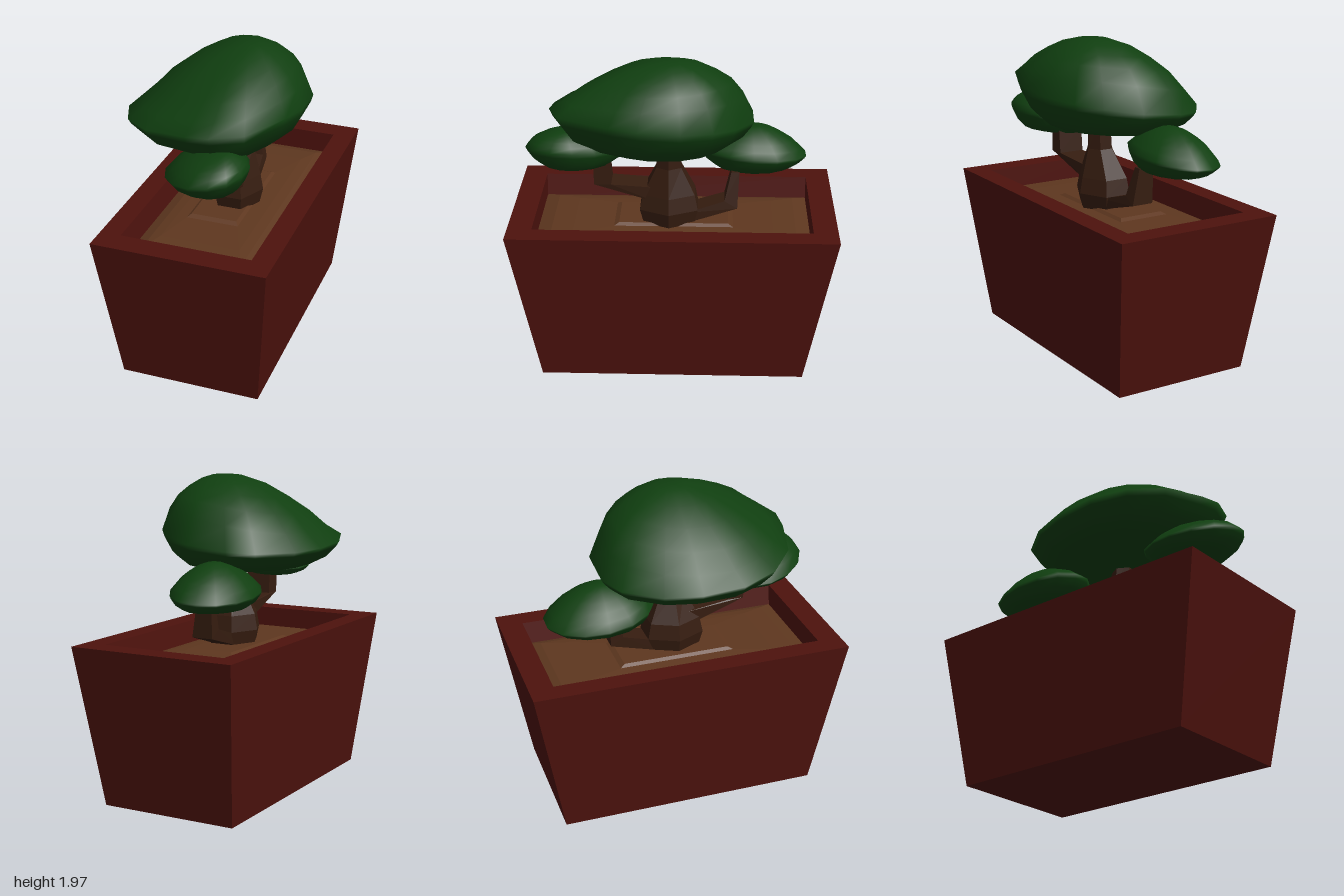
import * as THREE from 'three';

// Skin between rings of points; rings run counter-clockwise seen from the far end
function loft(rings, { flat = true, start = true, end = true } = {}) {
  const n = rings[0].length, pos = rings.flat(2), idx = [];
  for (let k = 0; k < rings.length - 1; k++) {
    for (let i = 0; i < n; i++) {
      const j = (i + 1) % n, a = k * n, b = a + n;
      idx.push(a + i, a + j, b + j, a + i, b + j, b + i);
    }
  }
  const cap = (k, flip) => {
    const c = pos.length / 3;
    for (let d = 0; d < 3; d++) pos.push(rings[k].reduce((s, p) => s + p[d], 0) / n);
    for (let i = 0; i < n; i++) {
      const a = k * n + i, b = k * n + (i + 1) % n;
      idx.push(c, flip ? b : a, flip ? a : b);
    }
  };
  if (start) cap(0, true);
  if (end) cap(rings.length - 1, false);
  let g = new THREE.BufferGeometry();
  g.setAttribute('position', new THREE.Float32BufferAttribute(pos, 3));
  g.setIndex(idx);
  if (flat) g = g.toNonIndexed();
  g.computeVertexNormals();
  return g;
}

// Horizontal rectangle ring
const rect = (y, x0, x1, z) => [[x1, y, z], [x1, y, -z], [x0, y, -z], [x0, y, z]];

// Horizontal elliptical ring
const oval = (y, cx, cz, rx, rz, n) => Array.from({ length: n }, (_, i) => {
  const a = i / n * Math.PI * 2;
  return [cx + rx * Math.cos(a), y, cz - rz * Math.sin(a)];
});

// Four-sided bent branch; section = [x0, x1, lowerY, lowerZ, upperY, upperZ]
const branch = (sections, backwards) => loft(sections.map(([x0, x1, yl, zl, yu, zu]) => {
  const [a, b] = backwards ? [x0, x1] : [x1, x0];
  return [[a, yl, zl], [a, yu, zu], [b, yu, zu], [b, yl, zl]];
}));

// Leaf pad: an outline at its widest level, drawn in towards a top and a bottom centre.
// A slope of 1 gives a round upper side, larger values a straighter one.
function leafPad(outline, level, top, bottom, slope) {
  const under = [[0.35, 1], [0.7, 0.86], [0.87, 0.56], [0.97, 0.18]];
  const over = [[1, 0], [0.87, 0.45], [0.73, 0.67], [0.55, 0.82], [0.36, 0.93], [0.16, 0.99]];
  const ring = (c, s, height) => outline.map(([x, z]) => {
    const y = level(x, z);
    return [c[0] + (x - c[0]) * s, y + (c[1] - y) * height(x, z), c[2] + (z - c[2]) * s];
  });
  return loft([
    ...under.map(([s, h]) => ring(bottom, s, () => h)),
    ...over.map(([s, h]) => ring(top, s, (x, z) => h ** slope(x, z))),
  ], { flat: false });
}

export function createModel() {
  const group = new THREE.Group();
  const mat = (color, flatShading) => new THREE.MeshStandardMaterial({ color, flatShading });
  const clay = mat(0x4d120d, true), earth = mat(0x5e371f, true);
  const bark = mat(0x361d10, true), leaf = mat(0x103f10, false);
  const add = (name, geometry, material) => {
    const m = new THREE.Mesh(geometry, material);
    m.name = name;
    group.add(m);
  };

  // Tapered planter with a thick rim and an inner wall
  add('planter', loft([
    rect(0, -0.42, 0.46, 0.82),
    rect(1, -0.515, 0.56, 1),
    rect(1, -0.385, 0.425, 0.85),
    rect(0.84, -0.355, 0.395, 0.85),
  ], { end: false }), clay);

  // Soil mound in shallow steps
  add('soil', loft([
    rect(0.86, -0.365, 0.405, 0.85),
    rect(0.89, -0.29, 0.33, 0.76),
    rect(0.9, -0.23, 0.27, 0.62),
    rect(0.905, -0.16, 0.17, 0.37),
    rect(0.92, -0.14, 0.15, 0.34),
  ], { start: false }), earth);

  // Six-sided trunk, flared at the base
  add('trunk', loft([
    [0.9, 0.05, 0.145, 0.18],
    [1.0, 0.05, 0.168, 0.208],
    [1.1, 0.05, 0.15, 0.185],
    [1.28, 0.073, 0.083, 0.088],
    [1.46, 0.078, 0.078, 0.08],
  ].map(([y, cx, rx, rz]) => oval(y, cx, 0.03, rx, rz, 6))), bark);

  // Two elbow branches
  add('frontBranch', branch([
    [-0.03, 0.13, 1.05, 0.1, 1.15, 0.1],
    [-0.01, 0.155, 1.18, 0.49, 1.18, 0.385],
    [-0.01, 0.155, 1.34, 0.49, 1.34, 0.4],
  ]), bark);
  add('backBranch', branch([
    [-0.03, 0.13, 0.91, -0.08, 0.98, -0.08],
    [-0.04, 0.1, 1.0, -0.395, 1.05, -0.315],
    [-0.04, 0.06, 1.23, -0.405, 1.23, -0.355],
  ], true), bark);

  // Crown with an uneven outline, rounder at the back right than at the front left
  const crown = [
    [0.51, 0.2], [0.5, -0.05], [0.41, -0.24], [0.29, -0.37], [0.08, -0.485], [-0.185, -0.485],
    [-0.345, -0.41], [-0.5, -0.2], [-0.56, 0.02], [-0.56, 0.28], [-0.47, 0.5], [-0.29, 0.66],
    [-0.02, 0.735], [0.13, 0.75], [0.32, 0.68], [0.46, 0.37],
  ];
  add('crown', leafPad(crown, (x, z) => 1.6 + 0.11 * x + 0.07 * z,
    [0.13, 1.97, 0.03], [0, 1.39, 0.02], (x, z) => 1.6 + 0.8 * z - 0.7 * x), leaf);

  // Smaller pads over the branches
  const flat = ring => ring.map(([x, , z]) => [x, z]);
  const frontPad = flat(oval(0, 0.065, 0.6, 0.26, 0.305, 14)).map(([x, z]) => [x + 0.18 * (z - 0.6), z]);
  add('frontLeaves', leafPad(frontPad, (x, z) => 1.39 + 0.18 * x + 0.05 * (z - 0.6),
    [0.19, 1.55, 0.66], [0.08, 1.29, 0.55], () => 1.5), leaf);
  add('backLeaves', leafPad(flat(oval(0, -0.125, -0.49, 0.25, 0.34, 14)),
    (x, z) => 1.315 + 0.1 * (x + 0.12) + 0.09 * (z + 0.5),
    [-0.1, 1.485, -0.48], [-0.1, 1.2, -0.48], () => 1.8), leaf);

  return group;
}
